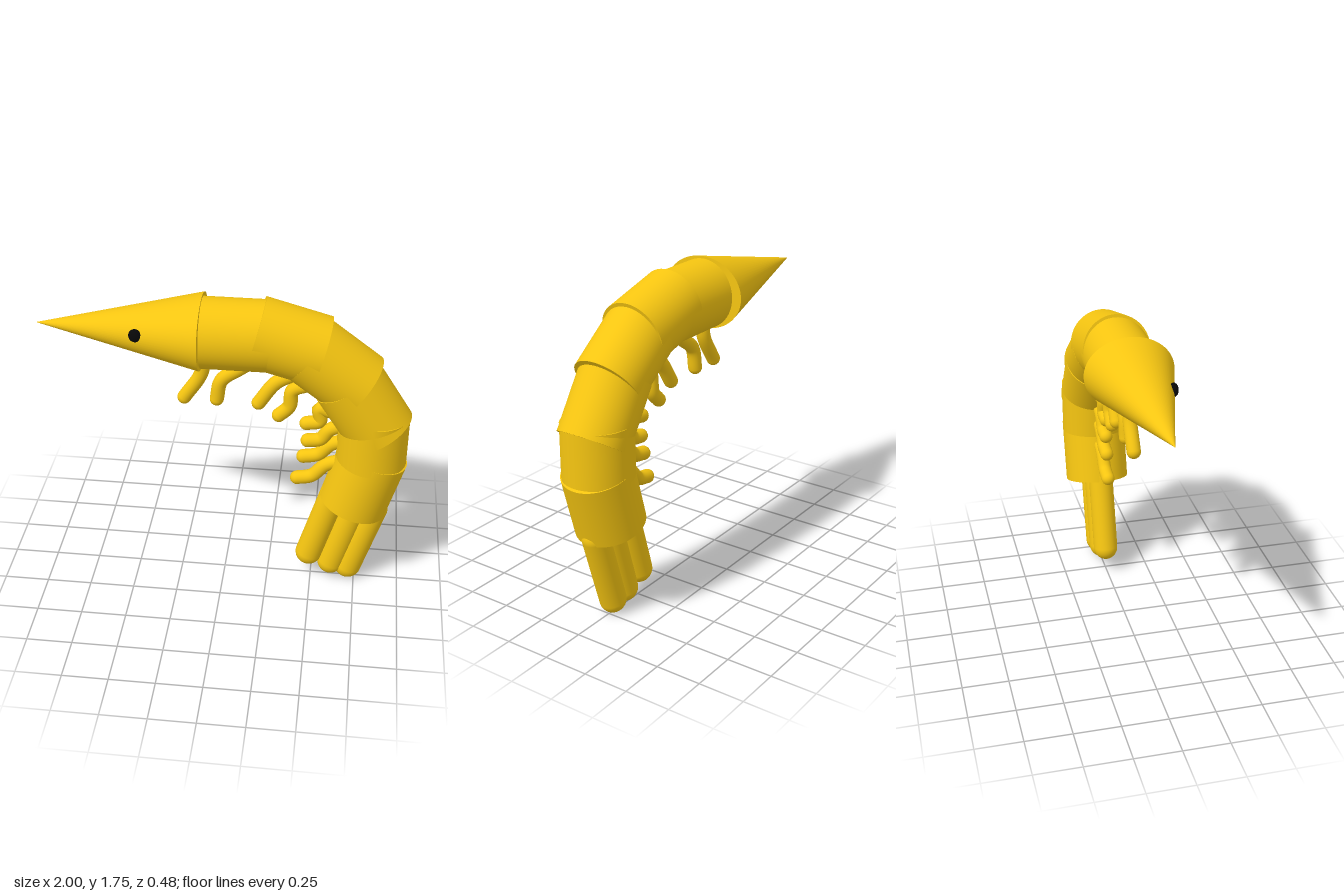
import * as THREE from 'three';

const yellow = new THREE.MeshStandardMaterial({ color: 0xf5c511 });
const black = new THREE.MeshStandardMaterial({ color: 0x080808 });
const UP = new THREE.Vector3(0, 1, 0);

function add(group, name, geometry, material = yellow) {
  const mesh = new THREE.Mesh(geometry, material);
  mesh.name = name;
  group.add(mesh);
  return mesh;
}

// Places a y-axis mesh between two points of the x-y plane
function span(mesh, [x0, y0], [x1, y1]) {
  const dir = new THREE.Vector3(x1 - x0, y1 - y0, 0).normalize();
  mesh.position.set((x0 + x1) / 2, (y0 + y1) / 2, 0);
  mesh.quaternion.setFromUnitVectors(UP, dir);
}

const dist = ([x0, y0], [x1, y1]) => Math.hypot(x1 - x0, y1 - y0);

export function createModel() {
  const model = new THREE.Group();
  model.name = 'shrimp';

  // Pointed head, wider than it is tall
  const head = add(model, 'head', new THREE.ConeGeometry(0.197, 0.88, 64));
  head.rotation.z = Math.PI / 2;
  head.position.set(-0.56, 1.553, 0);
  head.scale.z = 0.24 / 0.197;

  // Single eye on the front side
  const eye = add(model, 'eye', new THREE.SphereGeometry(0.036, 32, 20), black);
  eye.position.set(-0.447, 1.585, 0.145);
  eye.scale.set(0.92, 1, 0.65);

  // Overlapping body segments following the curved back
  const segments = [
    [[-0.13, 1.547], [0.24, 1.547]],
    [[0.16, 1.57], [0.505, 1.475]],
    [[0.436, 1.487], [0.711, 1.282]],
    [[0.641, 1.316], [0.836, 1.016]],
    [[0.798, 1.12], [0.798, 0.825]],
    [[0.811, 0.864], [0.715, 0.527]],
  ];
  segments.forEach(([a, b], i) => {
    const segment = add(model, 'bodySegment' + (i + 1),
      new THREE.CylinderGeometry(0.19, 0.19, dist(a, b), 64));
    span(segment, a, b);
    segment.scale.z = 0.97;
  });

  // Three rounded tail lobes
  const lobes = [
    [[0.485, 0.155], [0.61, 0.587]],
    [[0.613, 0.1], [0.738, 0.532]],
    [[0.713, 0.079], [0.838, 0.494]],
  ];
  lobes.forEach(([a, b], i) => {
    const lobe = add(model, 'tailLobe' + (i + 1),
      new THREE.CapsuleGeometry(0.075, dist(a, b), 12, 40));
    span(lobe, a, b);
    lobe.scale.z = 0.95;
  });

  // Bent legs along the belly, root to tip
  const legs = [
    [[-0.12, 1.44], [-0.125, 1.31], [-0.22, 1.15]],
    [[0.17, 1.41], [0.08, 1.345], [-0.02, 1.265], [-0.045, 1.15]],
    [[0.45, 1.37], [0.36, 1.325], [0.27, 1.27], [0.18, 1.14]],
    [[0.51, 1.31], [0.44, 1.27], [0.36, 1.23], [0.345, 1.13], [0.29, 1.07]],
    [[0.66, 1.09], [0.56, 1.115], [0.505, 1.125], [0.512, 1.05], [0.44, 1.03]],
    [[0.68, 1.04], [0.57, 1.0], [0.52, 0.935], [0.45, 0.92]],
    [[0.68, 0.94], [0.58, 0.905], [0.51, 0.835], [0.43, 0.815]],
    [[0.68, 0.81], [0.56, 0.77], [0.48, 0.69], [0.4, 0.67]],
  ];
  legs.forEach((points, i) => {
    const leg = new THREE.Group();
    leg.name = 'leg' + (i + 1);
    const path = points.map(([x, y]) => new THREE.Vector3(x, y, 0));
    const curve = new THREE.CatmullRomCurve3(path);
    add(leg, 'limb', new THREE.TubeGeometry(curve, 40, 0.038, 20));
    for (const end of [path[0], path[path.length - 1]]) {
      add(leg, 'roundEnd', new THREE.SphereGeometry(0.038, 20, 14)).position.copy(end);
    }
    model.add(leg);
  });

  return model;
}
